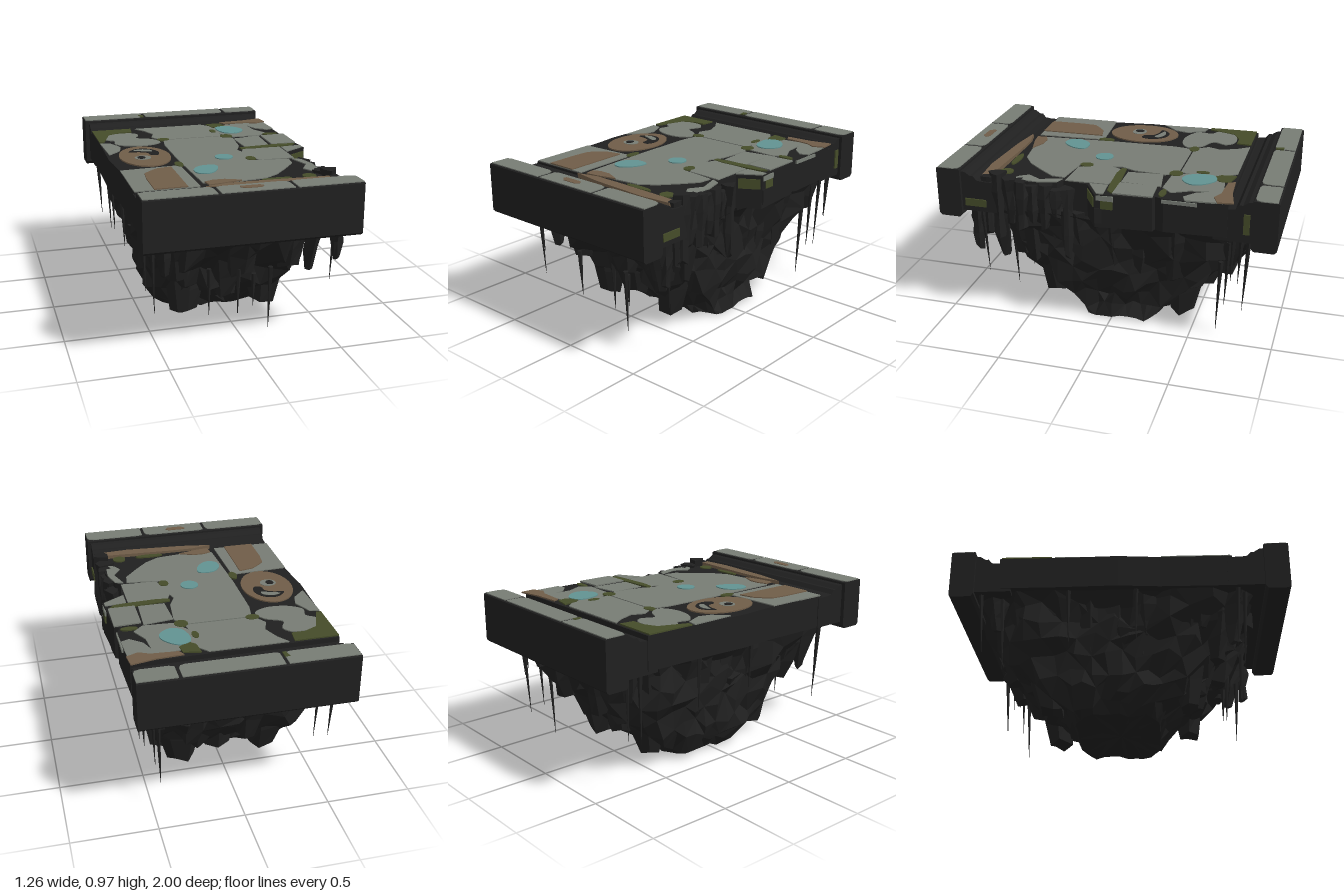
import * as THREE from 'three';

const mat = (name, color, extra = {}) => new THREE.MeshStandardMaterial({ name, color, ...extra });

export function createModel() {
  const model = new THREE.Group();
  model.name = 'brokenStonePlatform';
  const rock = mat('darkRock', 0x202020, { flatShading: true });
  const stone = mat('greyStone', 0x777c74);
  const rust = mat('brownStain', 0x705d48);
  const moss = mat('moss', 0x454c29);
  const pool = mat('cyanLichen', 0x629392);

  let seed = 7;
  const rnd = () => (seed = (seed * 16807) % 2147483647) / 2147483647;
  const jit = (a) => (rnd() - 0.5) * 2 * a;
  const add = (name, geo, m) => {
    const mesh = new THREE.Mesh(geo, m);
    mesh.name = name;
    model.add(mesh);
    return mesh;
  };

  // Horizontal slab from an outline in hundredths (x, z); its top follows a slight slope
  const plate = (name, m, flat, top, { depth = 0.008, round = false, slope = 0.012 } = {}) => {
    let pts = [];
    for (let i = 0; i < flat.length; i += 2) pts.push(new THREE.Vector3(flat[i] / 100, -flat[i + 1] / 100, 0));
    if (round) pts = new THREE.CatmullRomCurve3(pts, true).getPoints(flat.length * 2).slice(0, -1);
    const shape = new THREE.Shape(pts.map((v) => new THREE.Vector2(v.x, v.y)));
    const geo = new THREE.ExtrudeGeometry(shape, { depth, bevelEnabled: false });
    geo.rotateX(-Math.PI / 2).translate(0, top - depth, 0);
    const p = geo.attributes.position;
    for (let i = 0; i < p.count; i++) p.setY(i, p.getY(i) - slope * p.getZ(i));
    geo.computeVertexNormals();
    return add(name, geo, m);
  };
  const oval = (x, z, rx, rz) => {
    const out = [];
    for (let i = 0; i < 12; i++) out.push(x + rx * Math.cos(i * Math.PI / 6), z + rz * Math.sin(i * Math.PI / 6));
    return out;
  };
  // Profile in (z, y) extruded along x
  const beam = (name, prof, s, x0, x1) => {
    const shape = new THREE.Shape(prof.map(([z, y]) => new THREE.Vector2(-z * s, y)));
    const geo = new THREE.ExtrudeGeometry(shape, { depth: x1 - x0, bevelEnabled: false });
    add(name, geo.rotateY(Math.PI / 2).translate(x0, 0, 0), rock);
  };

  // Curbs at both ends with stone caps, and a stepped channel beside each
  for (const s of [1, -1]) {
    beam(s > 0 ? 'frontCurb' : 'backCurb', [[0.855, 0.69], [0.87, 0.67], [0.985, 0.67], [1, 0.685], [1, 0.965], [0.995, 0.97], [0.86, 0.97], [0.855, 0.965]], s, -0.63, 0.595);
    const g = s > 0 ? 20 : 35;
    for (const [a, b] of [[-62.5, -22.5], [-20.5, g], [g + 2, 59.3]]) {
      plate('curbCap', stone, [a, 87.5 * s, a + 3, 86.5 * s, b - 4, 86.5 * s, b - 1, 87.5 * s, b, 90 * s, b, 99 * s, a, 99 * s, a, 89 * s], 0.975, { slope: 0 });
    }
    beam('channel', [[0.64, 0.71], [0.87, 0.71], [0.87, 0.955], [0.83, 0.95], [0.8, 0.93], [0.78, 0.93], [0.76, 0.905], [0.72, 0.9], [0.64, 0.9]], s, -0.605, 0.575);
  }
  plate('curbStain', rust, [-8, 90, 3, 90, 5, 92, 3, 94.3, -6, 94.3, -8.5, 92], 0.978, { slope: 0 });
  plate('curbMoss', moss, [-25, -92, -22, -92, -22, -87, -24, -87], 0.978, { slope: 0 });

  // Main deck with a broken left edge
  plate('deck', rock, [-61, -71, 58, -72, 59, -36, 57, -31, 60, -30, 61, -8, 62, 3, 49, 11, 47, 26, 50, 29, 54, 45, 53, 67,
    -60, 67, -60, 24, -61, 10, -62, 0, -61, -38], 0.92, { depth: 0.2 });

  // Paving stones
  const T = 0.926;
  plate('pavingBack', stone, [-32, -70, 14, -70, 20, -63, 19, -45, 20, -37, -21, -37, -26, -45, -23, -53, -27, -63], T);
  plate('pavingCentre', stone, [-20, -36, 20, -36, 25, -29, 23, -10, 19, -1, 23, 13, 20, 24, 43, 27, 42, 35, 34, 45, 26, 54, 17, 60, 1, 62, -20, 60, -22, 13, -22, -24], T);
  plate('pavingBackLeft', stone, [18, -57, 29, -65, 58, -69, 59, -48, 54, -46, 47, -52, 44, -60, 45, -48, 50, -38, 44, -32, 26, -33, 18, -45], T);
  plate('pavingSmall', stone, [25, -28, 43, -31, 42, -7, 26, -7], T);
  plate('pavingEdge', stone, [44, -29, 60, -30, 60, -7, 44, -7], T + 0.006);
  plate('pavingMid', stone, [23, -2, 47, -1, 47, 25, 25, 24, 19, 8], T);
  plate('pavingChip', stone, [48, -1, 61, -2, 61, 2, 48, 10], T);
  plate('pavingBean', stone, [-57, -52, -48, -59, -37, -59, -33, -54, -36, -46, -26, -40, -23, -32, -31, -27, -44, -28, -52, -34, -51, -42, -56, -46], T, { round: true });
  plate('pavingRim', stone, [-61, -38, -55, -37, -50, -26, -52, -18, -60, -10], T);
  plate('pavingFront', stone, [-60, 25, -42, 24, -24, 23, -23, 66, -60, 66], T);
  plate('pavingSliver', stone, [45, 27, 50, 29, 53, 40, 52, 56, 47, 53, 44, 48, 49, 40], T);

  // Moss patches
  const M = 0.929, R = { round: true };
  plate('mossCorner', moss, [-61, -70, -35, -70, -36, -61, -44, -61, -52, -57, -58, -40, -61, -40], M);
  plate('mossBack', moss, [18, -70, 28, -68, 29, -62, 23, -57, 19, -61], M);
  plate('mossSeam', moss, [22, -5, 46, -7, 59, -6, 56, -3, 48, -2, 30, -1, 22, -2], M);
  for (const o of [oval(22, -35, 4, 4), oval(17, -50, 2, 4), oval(-20, -37, 4, 3), oval(-24, 21, 2.5, 5), oval(21, 20, 3, 4),
    oval(52, -34, 5, 2), oval(22, 64, 9, 2), oval(42, 63, 4, 4)]) plate('mossPatch', moss, o, M, R);
  // Moss and pale chips on the side faces
  for (const [m, x, y, z, h, d] of [[moss, 0.578, 0.765, 0.77, 0.045, 0.13], [moss, 0.578, 0.82, -0.825, 0.12, 0.035],
    [moss, 0.616, 0.86, -0.04, 0.05, 0.07], [stone, 0.616, 0.9, -0.03, 0.03, 0.1], [stone, 0.592, 0.91, -0.45, 0.02, 0.2]]) {
    add(m === moss ? 'sideMoss' : 'sideChip', new THREE.BoxGeometry(0.009, h, d).translate(x, y, z), m);
  }
  add('brokenEdgeMoss', new THREE.BoxGeometry(0.13, 0.06, 0.009).rotateY(0.55).translate(0.556, 0.87, 0.071), moss);

  // Brown stains and the ring emblem
  const B = 0.932;
  plate('stainRing', rust, oval(-40, 0, 15.5, 22), B, R);
  plate('ringArc', rock, [-48, -10, -42, -16, -34, -14, -30, -6, -32, 0, -36, -1, -37, -6, -42, -9], B + 0.002, R);
  plate('ringArcLight', stone, [-45, -12, -40, -14, -34, -11, -34, -8, -40, -10], B + 0.004, R);
  plate('ringEye', stone, oval(-42, 4, 5, 4.5), B + 0.002, R);
  plate('ringPupil', rock, oval(-43, 4, 2.4, 2.8), B + 0.004, R);
  plate('stainFront', rust, [-48, 36, -44, 32, -39, 28, -30, 26, -30, 66, -49, 66, -49, 46], B);
  plate('stainBack', rust, [28, -71, 44, -72, 58, -75, 59, -66, 52, -63, 46, -66, 30, -67], B);
  plate('stainCorner', rust, [-19, 60, -14, 58, -7, 58, 2, 62, -10, 65, -18, 66], B);
  plate('stainStrip', rust, [-21, 70, -8, 67, 8, 67, 55, 69, 54, 74, 35, 75.5, -2, 73], 0.936, { depth: 0.03 });

  // Cyan lichen
  plate('lichenBack', pool, [21, -57, 28, -60, 36, -53, 37, -46, 30, -40, 23, -43], B, R);
  plate('lichenCentre', pool, oval(6, 13.5, 5.5, 5.5), B, R);
  plate('lichenFront', pool, [-19, 36, -13, 29, -4, 30, -5, 38, -12, 45, -18, 43], B, R);

  // Rocky underside: evenly spaced, jittered rings [y, minX, maxX, minZ, maxZ]
  const rings = [
    [0.73, -0.58, 0.55, -0.87, 0.80], [0.65, -0.56, 0.53, -0.87, 0.79], [0.55, -0.54, 0.50, -0.84, 0.76], [0.45, -0.51, 0.48, -0.78, 0.68],
    [0.35, -0.49, 0.46, -0.68, 0.57], [0.25, -0.47, 0.44, -0.58, 0.51], [0.16, -0.45, 0.41, -0.44, 0.39], [0.08, -0.43, 0.40, -0.34, 0.27],
    [0.015, -0.34, 0.40, -0.28, 0.22], [0.03, -0.15, 0.2, -0.14, 0.1]];
  const N = 44;
  const pos = [], idx = [];
  rings.forEach(([y, x0, x1, z0, z1], k) => {
    const cx = (x0 + x1) / 2, cz = (z0 + z1) / 2, hx = (x1 - x0) / 2, hz = (z1 - z0) / 2;
    const corners = [[1, -0.7], [1, 0.7], [0.7, 1], [-0.7, 1], [-1, 0.7], [-1, -0.7], [-0.7, -1], [0.7, -1]];
    const outline = new THREE.Shape(corners.map(([u, v]) => new THREE.Vector2(u * hx, v * hz)));
    outline.closePath();
    const inner = k > 0 && k < rings.length - 2;
    outline.getSpacedPoints(N).slice(0, N).forEach((q) => {
      const f = inner ? 1.02 - 0.15 * rnd() : 1;
      pos.push(cx + q.x * f + (inner ? jit(0.012) : 0), Math.max(0, y + jit(inner ? 0.04 : 0.012)), cz + q.y * f + (inner ? jit(0.012) : 0));
    });
  });
  for (let k = 0; k < rings.length - 1; k++) {
    for (let i = 0; i < N; i++) {
      const a = k * N + i, b = k * N + (i + 1) % N, c = a + N, d = b + N;
      if ((k + i) % 2) idx.push(a, b, c, b, d, c);
      else idx.push(a, b, d, a, d, c);
    }
  }
  const last = (rings.length - 1) * N;
  pos.push(0.02, 0.02, -0.02);
  for (let i = 0; i < N; i++) idx.push(last + i, last + (i + 1) % N, last + N);
  const body = new THREE.BufferGeometry();
  body.setAttribute('position', new THREE.Float32BufferAttribute(pos, 3));
  body.setIndex(idx);
  body.computeVertexNormals();
  add('rockBody', body, rock);

  // Tapering rock shards, roughened by a rule keyed to each corner
  const shard = (name, x, z, top, bottom, r, tip, { lean = 0, sides = 5, rough = 0.2, wide = 1 } = {}) => {
    const h = top - bottom;
    const g = new THREE.CylinderGeometry(r, tip, h, sides, 3).rotateY(rnd() * 6);
    const p = g.attributes.position, k = jit(9);
    for (let i = 0; i < p.count; i++) {
      const [vx, vy, vz] = [p.getX(i), p.getY(i), p.getZ(i)];
      const key = Math.round(vx * 1e3) * 0.37 + Math.round(vz * 1e3) * 0.53 + Math.round(vy * 1e3) * 0.71 + k;
      const w = 1 + rough * Math.sin(key), t = h / 2 - vy;
      const lift = (vx || vz) && t > 0.01 ? rough * 0.12 * h * (1 + Math.cos(key * 1.7)) : 0;
      p.setXYZ(i, vx * w * wide + x - t * lean * x, vy + lift + (top + bottom) / 2, vz * w + z - t * lean * z);
    }
    g.computeVertexNormals();
    add(name, g, rock);
  };
  // Large lumps [x, z, top, bottom, radius]
  for (const [x, z, top, bottom, r] of [[-0.3, 0.43, 0.55, 0.05, 0.16], [-0.02, 0.44, 0.55, 0.14, 0.16], [0.25, 0.42, 0.55, 0.08, 0.15],
    [-0.28, -0.45, 0.6, 0.06, 0.17], [0.02, -0.46, 0.6, 0.12, 0.17], [0.27, -0.45, 0.55, 0.04, 0.15], [-0.35, 0.06, 0.5, 0.03, 0.13], [-0.34, -0.2, 0.5, 0.04, 0.13],
    [-0.1, -0.7, 0.7, 0.32, 0.14], [0.25, -0.7, 0.7, 0.34, 0.14], [-0.36, 0.6, 0.7, 0.34, 0.14], [0.04, 0.62, 0.7, 0.34, 0.15], [0.34, 0.6, 0.7, 0.36, 0.13]]) {
    shard('rockLump', x, z, top, bottom, r, r * 0.4, { lean: 0.15, sides: 6, rough: 0.25, wide: 1.15 });
  }
  // Buttresses along both sides
  for (let i = 0; i < 9; i++) {
    const z = -0.76 + i * 0.185 + jit(0.04);
    for (const s of [1, -1]) shard('sideButtress', s * (s > 0 ? 0.44 : 0.47), z, 0.74, 0.42 + jit(0.1), 0.095, 0.03, { lean: 0.15, rough: 0.25, wide: 0.8 });
  }

  // Rubble slumping over the broken edge: [z, top, bottom, radius]
  for (const [z, top, bottom, r] of [[0.22, 0.9, 0.45, 0.05], [0.29, 0.88, 0.7, 0.05], [0.36, 0.91, 0.62, 0.055], [0.43, 0.9, 0.66, 0.05],
    [0.5, 0.92, 0.6, 0.055], [0.57, 0.93, 0.62, 0.06], [0.64, 0.955, 0.55, 0.06], [0.7, 0.93, 0.56, 0.04], [0.78, 0.72, 0.45, 0.05]]) {
    shard('rubble', 0.535 + jit(0.012), z, top, bottom, r * 0.8, r * 0.5, { sides: 6, rough: 0.35 });
  }
  add('looseBlock', new THREE.BoxGeometry(0.08, 0.09, 0.08).rotateY(0.3).translate(0.578, 0.79, 0.0), rock);

  // Hanging roots: [x, z, top, tip]
  for (const [x, z, top, tip] of [[-0.2, 0.72, 0.45, 0.16], [0, 0.64, 0.4, 0.1], [0.17, 0.71, 0.42, 0.03], [0.1, 0.62, 0.35, 0.14],
    [0.43, -0.67, 0.5, 0.03], [0.47, -0.72, 0.65, 0.22], [0.46, -0.83, 0.7, 0.2], [0.54, -0.8, 0.74, 0.42], [0.56, -0.76, 0.74, 0.45], [0.54, 0.75, 0.74, 0.3],
    [-0.57, 0.7, 0.74, 0.33], [-0.53, 0.74, 0.7, 0.21], [-0.56, -0.82, 0.74, 0.33], [-0.52, -0.7, 0.7, 0.25], [-0.57, 0.1, 0.74, 0.4], [-0.56, -0.3, 0.74, 0.36]]) {
    shard('hangingRoot', x, z, top, tip, 0.016, 0.001, { lean: 0.06, rough: 0.1 });
  }
  return model;
}
